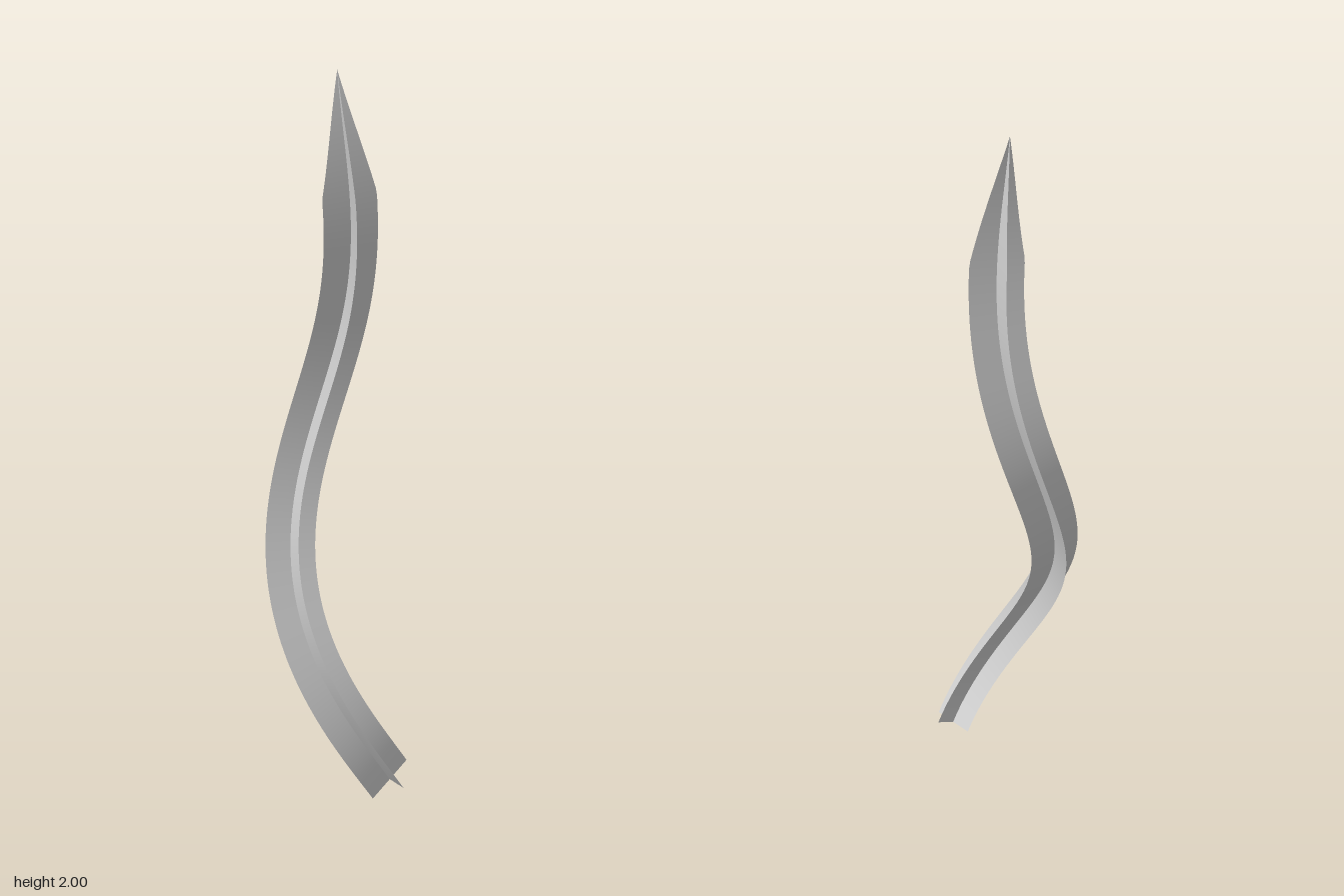
import * as THREE from 'three';

const SEGMENTS = 100;
const BASE_Y = 0.041, TOP_Y = 2, RADIUS = 0.201, AXIS_X = -0.05, AXIS_Z = -0.049;
const TAPER_START = 0.835;

// Spine: one turn of a spiral whose radius shrinks to nothing at the tip
function spine(t) {
  const a = t * Math.PI * 2, r = RADIUS * (1 - t);
  return new THREE.Vector3(
    AXIS_X + r * Math.cos(a), THREE.MathUtils.lerp(BASE_Y, TOP_Y, t), AXIS_Z + r * Math.sin(a));
}

function spineTangent(t) {
  const a = t * Math.PI * 2, r = RADIUS * (1 - t), w = Math.PI * 2;
  return new THREE.Vector3(
    -RADIUS * Math.cos(a) - r * w * Math.sin(a), TOP_Y - BASE_Y,
    -RADIUS * Math.sin(a) + r * w * Math.cos(a)).normalize();
}

// Frames carried along the spine without twist, level at the base
function buildFrames() {
  const frames = [];
  let tangent = spineTangent(0);
  const side = new THREE.Vector3(0, 1, 0).cross(tangent).normalize();
  for (let i = 0; i <= SEGMENTS; i++) {
    const t = i / SEGMENTS, next = spineTangent(t);
    side.applyQuaternion(new THREE.Quaternion().setFromUnitVectors(tangent, next));
    tangent = next;
    frames.push({
      point: spine(t),
      side: side.clone(),
      up: new THREE.Vector3().crossVectors(tangent, side),
      scale: Math.min(1, (1 - t) / (1 - TAPER_START)),
    });
  }
  return frames;
}

// Flat strip along the spine, spread to both sides in one frame direction
function ribbon(name, frames, axis, halfWidth, material) {
  const positions = [], indices = [];
  frames.forEach((f, i) => {
    for (const s of [-1, 0, 1]) {
      const p = f.point.clone().addScaledVector(f[axis], s * halfWidth * f.scale);
      positions.push(p.x, p.y, p.z);
    }
    if (i === SEGMENTS) return;
    for (let k = 0; k < 2; k++) {
      const a = i * 3 + k, b = a + 3;
      indices.push(a, a + 1, b + 1);
      if (i < SEGMENTS - 1) indices.push(a, b + 1, b);
    }
  });
  const geometry = new THREE.BufferGeometry();
  geometry.setAttribute('position', new THREE.Float32BufferAttribute(positions, 3));
  geometry.setIndex(indices);
  geometry.computeVertexNormals();
  const mesh = new THREE.Mesh(geometry, material);
  mesh.name = name;
  return mesh;
}

export function createModel() {
  const group = new THREE.Group();
  group.name = 'spiralTrail';
  const material = new THREE.MeshStandardMaterial({ color: 0xcccccc, side: THREE.DoubleSide });
  const frames = buildFrames();
  // Two ribbons crossing at right angles
  group.add(ribbon('sideRibbon', frames, 'side', 0.061, material));
  group.add(ribbon('crossRibbon', frames, 'up', 0.073, material));
  return group;
}
